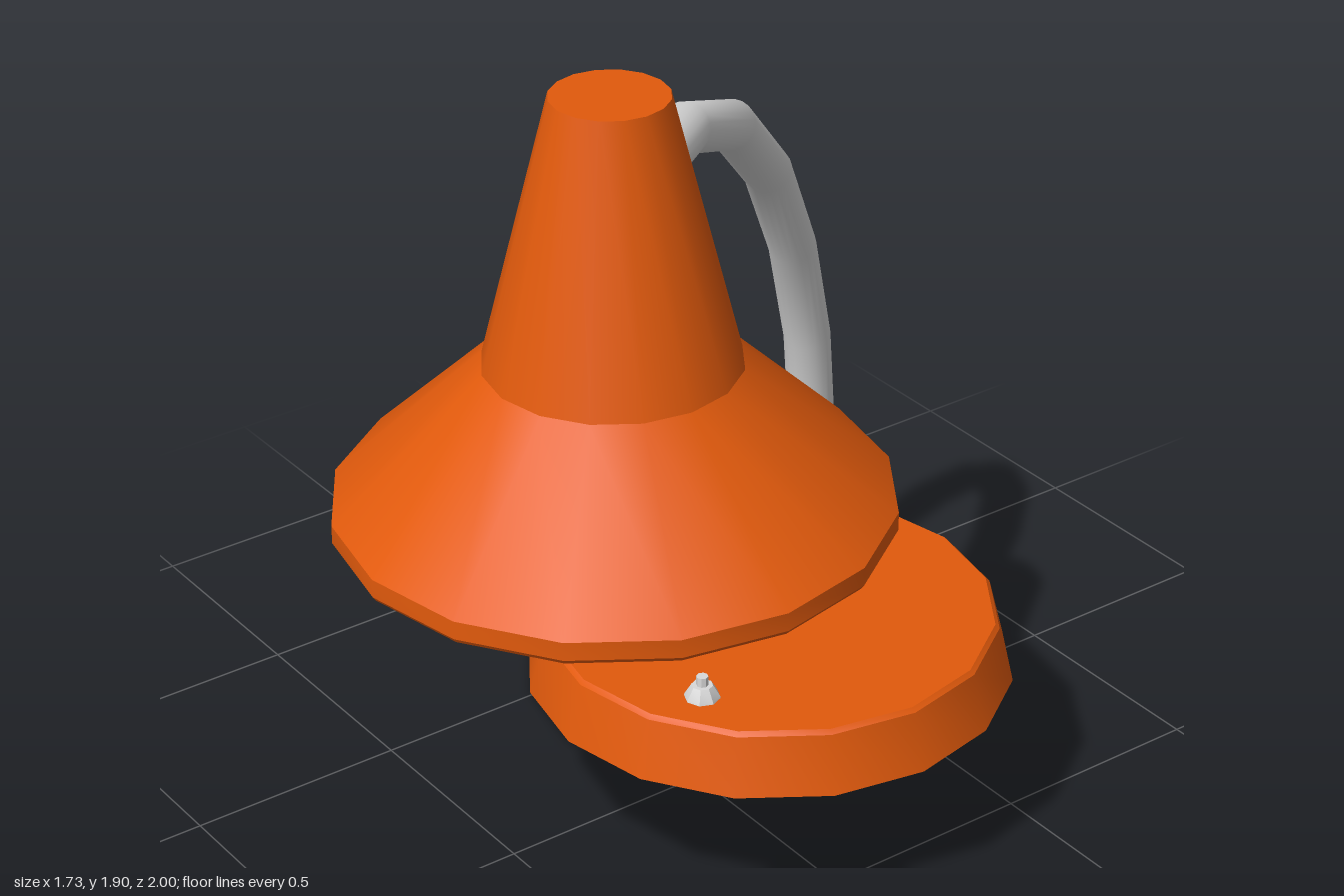
import * as THREE from 'three';
import { toCreasedNormals } from 'three/addons/utils/BufferGeometryUtils.js';

export function createModel() {
  const orange = new THREE.MeshStandardMaterial({ color: 0xe25a0c });
  orange.name = 'orange enamel';
  const silver = new THREE.MeshStandardMaterial({ color: 0xd9d9d9 });
  silver.name = 'silver metal';

  const lamp = new THREE.Group();
  lamp.name = 'deskLamp';

  const add = (name, geometry, material) => {
    const mesh = new THREE.Mesh(geometry, material);
    mesh.name = name;
    lamp.add(mesh);
    return mesh;
  };
  // Turned part from [radius, height] pairs, listed so that faces point outward
  const turned = (name, profile, sides, material, x, z) => {
    const points = profile.map(([r, y]) => new THREE.Vector2(r, y));
    const geometry = toCreasedNormals(new THREE.LatheGeometry(points, sides), 0.5);
    add(name, geometry, material).position.set(x, 0, z);
  };

  // Round foot with tapered side and a fine bevel
  turned('base', [
    [0, 0], [0.577, 0], [0.541, 0.14], [0.531, 0.15], [0, 0.15],
  ], 16, orange, -0.29, -0.423);

  // Hollow flared shade: inner ceiling, inner cone, rim, outer flare, neck
  turned('shade', [
    [0, 1.315], [0.268, 1.315], [0.54, 0.98], [0.57, 0.98], [0.577, 0.99],
    [0.577, 1.03], [0.265, 1.33], [0.121, 1.905], [0, 1.905],
  ], 16, orange, 0.29, 0.423);

  // Switch on the foot
  turned('switchCollar', [
    [0.043, 0.145], [0.041, 0.155], [0.025, 0.182], [0, 0.182],
  ], 8, silver, -0.075, -0.068);
  turned('switchPin', [
    [0.014, 0.18], [0.014, 0.205], [0, 0.205],
  ], 8, silver, -0.075, -0.068);

  // Bent arm, given as [z, y] in a vertical plane that leans across x
  const bend = [
    [-0.695, 0.14], [-0.695, 0.46], [-0.655, 0.73], [-0.55, 1.025], [-0.39, 1.3],
    [-0.175, 1.525], [0.07, 1.65], [0.285, 1.657],
  ].map(([z, y]) => new THREE.Vector3(-0.487 + (z + 0.695) * 0.705, y, z));
  const path = new THREE.CatmullRomCurve3(bend);
  path.getUtoTmapping = (u) => u; // keep one ring at each bend point
  add('arm', new THREE.TubeGeometry(path, bend.length - 1, 0.055, 20), silver);

  // Flat end of the arm inside the neck
  const cap = add('armEnd', new THREE.CircleGeometry(0.055, 20), silver);
  cap.position.copy(bend[bend.length - 1]);
  cap.lookAt(cap.position.clone().add(path.getTangent(1)));

  return lamp;
}
